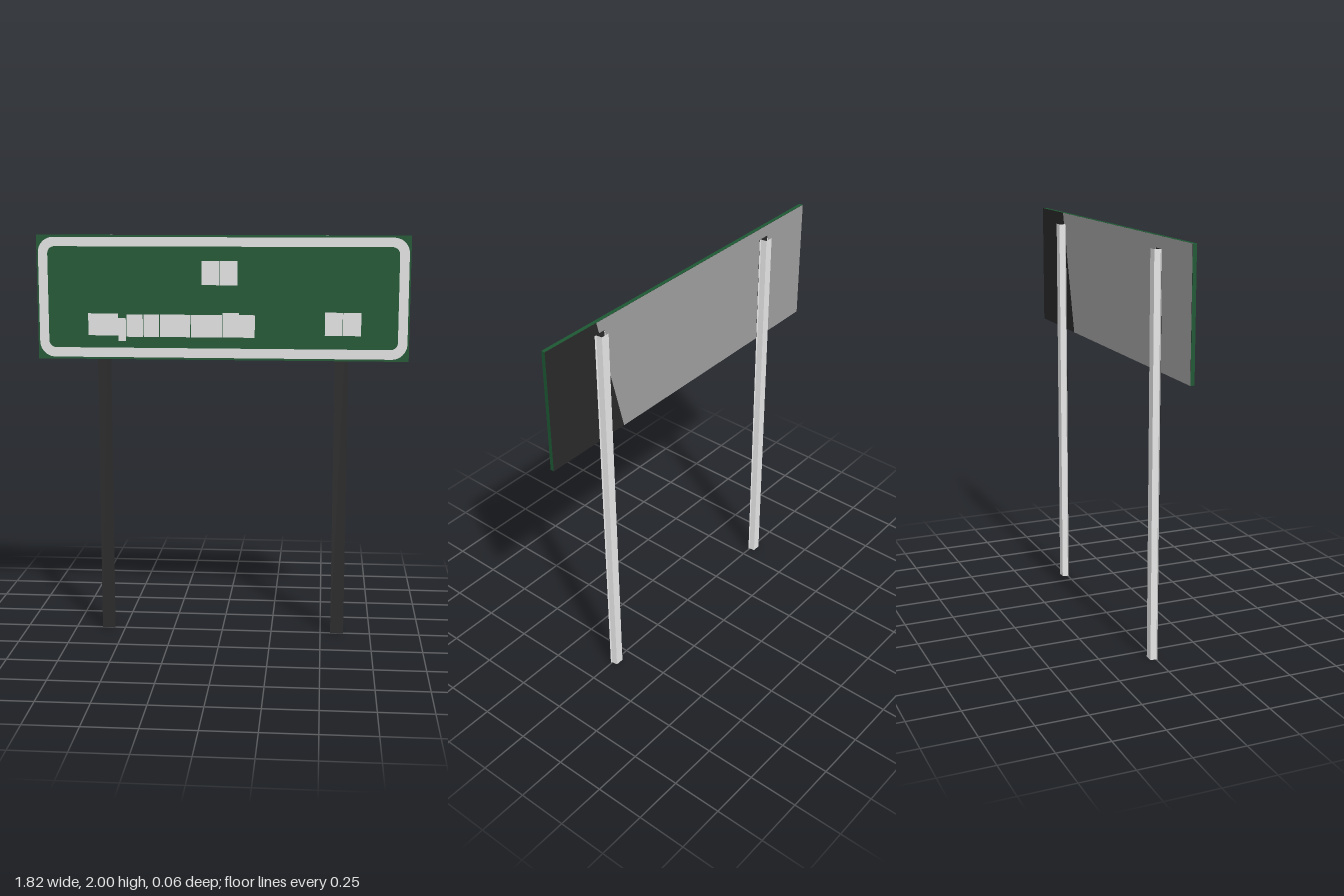
import * as THREE from 'three';

const mat = (name, color, side = THREE.FrontSide) => {
  const m = new THREE.MeshStandardMaterial({ color, side });
  m.name = name;
  return m;
};

// Rounded rectangle outline, for both the border and its hole
function roundedRect(path, x0, y0, x1, y1, r) {
  path.moveTo(x0 + r, y0);
  path.lineTo(x1 - r, y0);
  path.absarc(x1 - r, y0 + r, r, -Math.PI / 2, 0);
  path.lineTo(x1, y1 - r);
  path.absarc(x1 - r, y1 - r, r, 0, Math.PI / 2);
  path.lineTo(x0 + r, y1);
  path.absarc(x0 + r, y1 - r, r, Math.PI / 2, Math.PI);
  path.lineTo(x0, y0 + r);
  path.absarc(x0 + r, y0 + r, r, Math.PI, Math.PI * 1.5);
  return path;
}

// Open sheet following an [x, z] section from the ground up to a height
function sheet(section, height) {
  const pos = [];
  for (let i = 0; i < section.length - 1; i++) {
    const [[ax, az], [bx, bz]] = [section[i], section[i + 1]];
    const a = [ax, 0, az], b = [bx, 0, bz], c = [bx, height, bz], d = [ax, height, az];
    pos.push(...[a, b, c, a, c, d].flat());
  }
  const g = new THREE.BufferGeometry();
  g.setAttribute('position', new THREE.Float32BufferAttribute(pos, 3));
  g.computeVertexNormals();
  return g;
}

export function createModel() {
  const green = mat('sign green', 0x1c5732);
  const white = mat('marking white', 0xe3e3e3);
  const steel = mat('post steel', 0xe6e6e6);
  const dark = mat('dark backing', 0x292929, THREE.DoubleSide);
  const backGrey = mat('panel back grey', 0x9e9e9e, THREE.DoubleSide);

  const model = new THREE.Group();
  model.name = 'roadSign';
  const add = (name, geometry, material, parent = model) => {
    const m = new THREE.Mesh(geometry, material);
    m.name = name;
    parent.add(m);
    return m;
  };

  // Panel: green front and edges, dark back
  const Z0 = 0.007, Z1 = 0.026, W = 0.908, Y0 = 1.395, Y1 = 2;
  const panel = add('panel', new THREE.BoxGeometry(W * 2, Y1 - Y0, Z1 - Z0),
    [green, green, green, green, green, dark]);
  panel.position.set(0, (Y0 + Y1) / 2, (Z0 + Z1) / 2);

  // Grey sheet over the back, leaving the dark backing bare at the left end
  const cover = new THREE.Shape([[-W, Y0], [0.45, Y0], [0.6, Y1], [-W, Y1]]
    .map(([x, y]) => new THREE.Vector2(x, y)));
  add('backSheet', new THREE.ShapeGeometry(cover), backGrey).position.z = Z0 - 0.001;

  // Rounded border line
  const frame = roundedRect(new THREE.Shape(), -0.9, 1.405, 0.9, 1.99, 0.075);
  frame.holes.push(roundedRect(new THREE.Path(), -0.854, 1.452, 0.854, 1.945, 0.035));
  add('border', new THREE.ShapeGeometry(frame, 8), white).position.z = Z1 + 0.0015;

  // Blank marking plates: x0, x1, y0, y1
  const plates = new THREE.Group();
  plates.name = 'markings';
  model.add(plates);
  [
    [-0.098, -0.012, 1.76, 1.876], [-0.008, 0.077, 1.76, 1.876],
    [-0.658, -0.51, 1.512, 1.62], [-0.51, -0.472, 1.485, 1.597],
    [-0.469, -0.388, 1.506, 1.616], [-0.384, -0.308, 1.506, 1.616],
    [-0.304, -0.156, 1.506, 1.616], [-0.152, 0.002, 1.506, 1.616],
    [0.004, 0.083, 1.506, 1.627], [0.083, 0.161, 1.506, 1.616],
    [0.501, 0.5865, 1.518, 1.631], [0.5885, 0.676, 1.518, 1.631],
  ].forEach(([x0, x1, y0, y1]) => {
    const p = add('markingPlate', new THREE.PlaneGeometry(x1 - x0, y1 - y0), white, plates);
    p.position.set((x0 + x1) / 2, (y0 + y1) / 2, Z1 + 0.0015);
  });

  // Posts: hat-section channels closed by a flat dark face towards the panel
  const height = 1.945;
  const section = [[0.033, 0.003], [0.025, 0.001], [0.021, -0.028],
    [-0.021, -0.028], [-0.025, 0.001], [-0.033, 0.003]];
  for (const side of [-1, 1]) {
    const post = new THREE.Group();
    post.name = side > 0 ? 'leftPost' : 'rightPost';
    post.position.x = side * 0.584;
    add('postChannel', sheet(section, height), steel, post);
    add('postFace', new THREE.PlaneGeometry(0.066, height), dark, post)
      .position.set(0, height / 2, 0.004);
    model.add(post);
  }
  return model;
}
